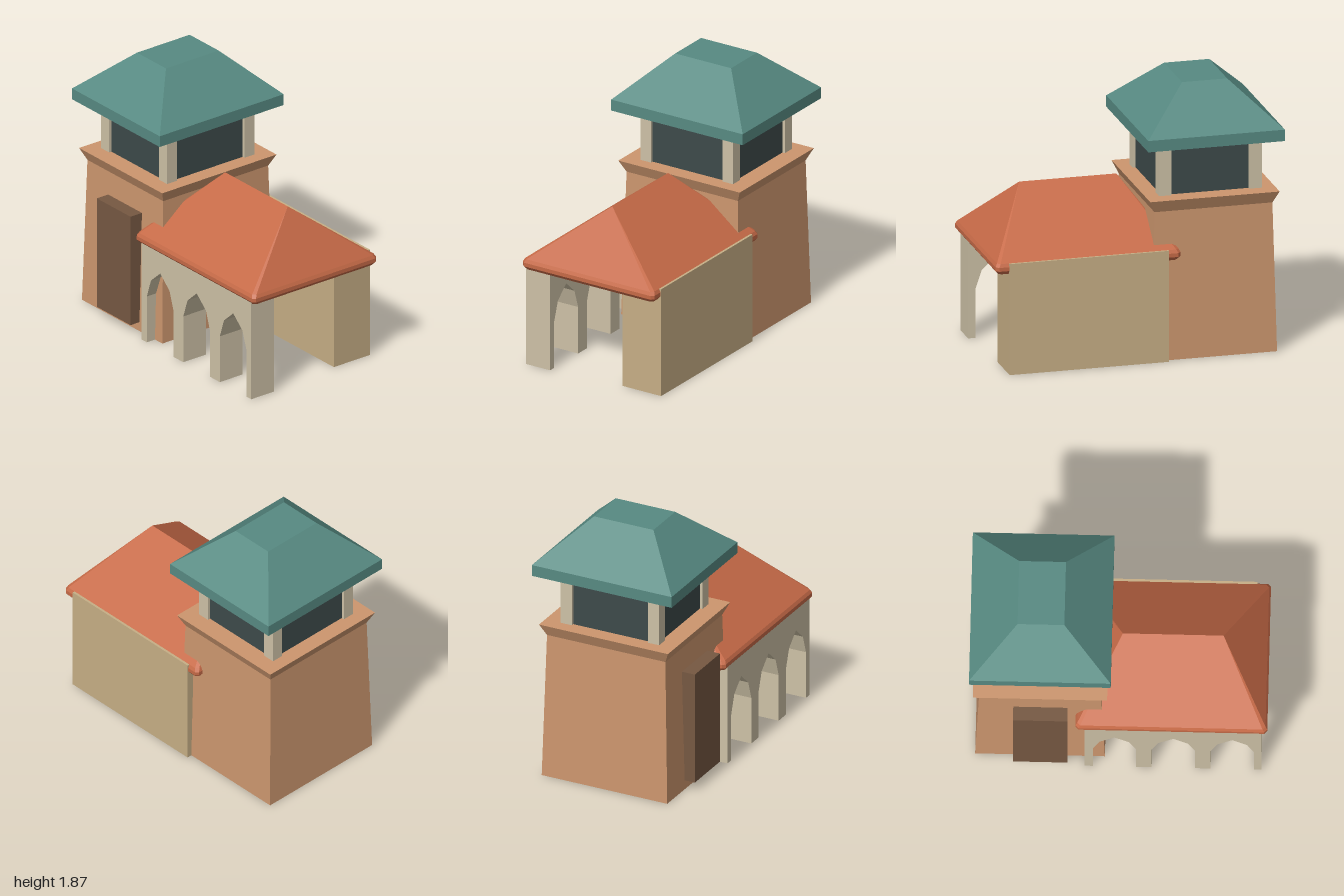
import * as THREE from 'three';

const mat = (name, color) => {
  const m = new THREE.MeshStandardMaterial({ color });
  m.name = name;
  return m;
};

// Corners of a rectangle, counter-clockwise from above, optionally chamfered
function ring({ x, z, y, hx, hz, cut = null }) {
  const pts = [];
  [[1, 1], [1, -1], [-1, -1], [-1, 1]].forEach(([sx, sz], i) => {
    const add = (dx, dz) =>
      pts.push(new THREE.Vector3(x + sx * (hx - dx), y, z + sz * (hz - dz)));
    if (cut === null) add(0, 0);
    else if (i % 2 === 0) { add(cut, 0); add(0, cut); }
    else { add(0, cut); add(cut, 0); }
  });
  return pts;
}

// Closed flat-sided solid through a stack of rings
function loft(specs) {
  const rings = specs.map(ring);
  const n = rings[0].length;
  const out = [];
  const tri = (a, b, c) => {
    if (new THREE.Triangle(a, b, c).getArea() < 1e-7) return;
    for (const p of [a, b, c]) out.push(p.x, p.y, p.z);
  };
  for (let k = 0; k < rings.length - 1; k++) {
    for (let i = 0; i < n; i++) {
      const j = (i + 1) % n;
      const lo = rings[k], hi = rings[k + 1];
      tri(lo[i], lo[j], hi[j]);
      tri(lo[i], hi[j], hi[i]);
    }
  }
  const top = rings[rings.length - 1], bottom = rings[0];
  for (let i = 1; i < n - 1; i++) {
    tri(top[0], top[i], top[i + 1]);
    tri(bottom[0], bottom[i + 1], bottom[i]);
  }
  const g = new THREE.BufferGeometry();
  g.setAttribute('position', new THREE.Float32BufferAttribute(out, 3));
  g.computeVertexNormals();
  return g;
}

// Box given by its minimum and maximum on each axis
function box(x0, x1, y0, y1, z0, z1) {
  return new THREE.BoxGeometry(x1 - x0, y1 - y0, z1 - z0)
    .translate((x0 + x1) / 2, (y0 + y1) / 2, (z0 + z1) / 2);
}

export function createModel() {
  const terracotta = mat('terracotta wall', 0xcc966e);
  const cream = mat('cream stone', 0xcdc1a6);
  const sand = mat('sand wall', 0xc6ae85);
  const tile = mat('red roof tile', 0xc66a47);
  const teal = mat('teal roof', 0x578a82);
  const slate = mat('dark opening', 0x3d4a4a);
  const wood = mat('brown door', 0x765842);

  const model = new THREE.Group();
  model.name = 'towerHouse';
  const add = (name, geometry, material, parent = model) => {
    const m = new THREE.Mesh(geometry, material);
    m.name = name;
    parent.add(m);
    return m;
  };

  // Tower: tapered shaft and flaring cornice
  const T = { x: -0.525, z: -0.015 };
  const tower = new THREE.Group();
  tower.name = 'tower';
  model.add(tower);
  add('towerShaft', loft([
    { ...T, y: 0, hx: 0.435, hz: 0.475 },
    { ...T, y: 1.04, hx: 0.41, hz: 0.448 },
  ]), terracotta, tower);
  add('cornice', loft([
    { ...T, y: 1.04, hx: 0.41, hz: 0.448 },
    { ...T, y: 1.125, hx: 0.45, hz: 0.488 },
  ]), terracotta, tower);
  add('door', box(-0.705, -0.34, 0.065, 0.87, 0.4, 0.535), wood, tower);

  // Belfry: dark core with four corner posts
  add('belfryCore', loft([
    { ...T, y: 1.12, hx: 0.337, hz: 0.353 },
    { ...T, y: 1.5, hx: 0.337, hz: 0.353 },
  ]), slate, tower);
  for (const sx of [-1, 1]) {
    for (const sz of [-1, 1]) {
      const p = { x: T.x + sx * 0.314, z: T.z + sz * 0.33, hx: 0.043, hz: 0.043 };
      add('belfryPost', loft([{ ...p, y: 1.12 }, { ...p, y: 1.5 }]), cream, tower);
    }
  }

  // Tower roof: straight fascia and truncated hip
  add('towerRoof', loft([
    { ...T, y: 1.49, hx: 0.475, hz: 0.529 },
    { ...T, y: 1.57, hx: 0.475, hz: 0.529 },
    { ...T, y: 1.865, hx: 0.157, hz: 0.225 },
  ]), teal, tower);

  // Wing: arcade with three pointed arches cut up from the ground
  const wing = new THREE.Group();
  wing.name = 'wing';
  model.add(wing);
  const shape = new THREE.Shape();
  shape.moveTo(-0.225, 0);
  for (const cx of [-0.025, 0.37, 0.765]) {
    for (const [dx, y] of [[-0.145, 0], [-0.145, 0.34], [-0.1, 0.475], [0, 0.565],
      [0.1, 0.475], [0.145, 0.34], [0.145, 0]]) shape.lineTo(cx + dx, y);
  }
  shape.lineTo(0.96, 0);
  shape.lineTo(0.96, 0.74);
  shape.lineTo(-0.225, 0.74);
  shape.closePath();
  add('arcade', new THREE.ExtrudeGeometry(shape, { depth: 0.195, bevelEnabled: false })
    .translate(0, 0, 0.335), cream, wing);

  // Solid rear wall of the wing
  add('rearWall', box(-0.2, 0.91, 0, 0.78, -0.525, -0.215), sand, wing);

  // Hip roof with bevelled eaves
  const R = { x: 0.357, z: 0.01 };
  const eave = (y, inset) =>
    ({ ...R, y, hx: 0.643 - inset, hz: 0.53 - inset, cut: 0.02 });
  add('wingRoof', loft([
    eave(0.705, 0.02), eave(0.73, 0), eave(0.757, 0), eave(0.78, 0.012),
    { ...R, y: 1.18, hx: 0.338, hz: 0, cut: 0 },
  ]), tile, wing);

  return model;
}
